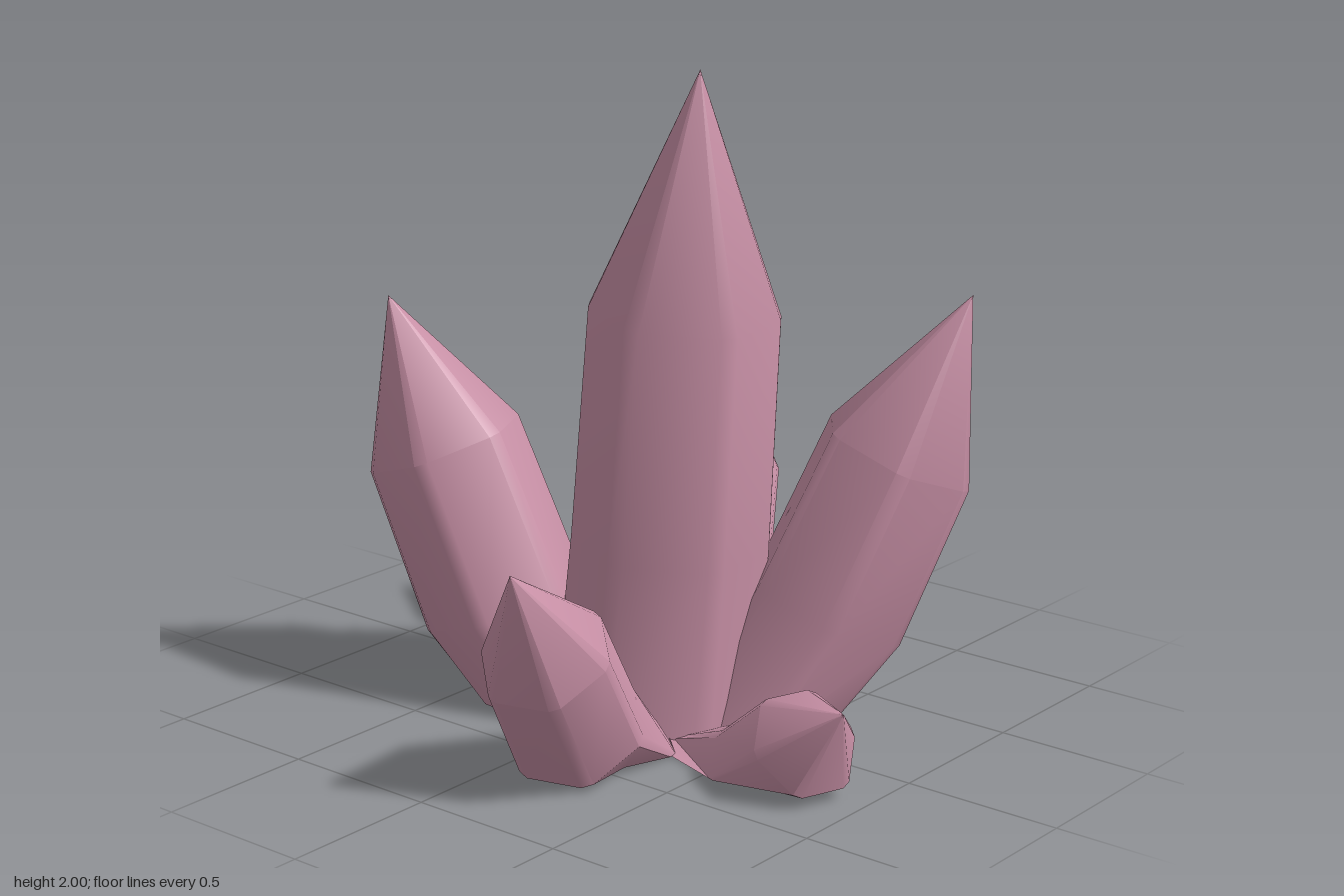
import * as THREE from 'three';
import { toCreasedNormals } from 'three/addons/utils/BufferGeometryUtils.js';

// Common point on the ground where all crystals grow from
const ROOT = new THREE.Vector3(0.05, 0.02, 0);
const BEVEL = 0.09;

// Six-sided leaning crystal with narrow bevelled edges; its foot is flattened on the ground
function crystalGeometry({ tip, shoulder, radius, body }) {
  const top = new THREE.Vector3(...tip);
  const mid = new THREE.Vector3(...shoulder);
  const axis = top.clone().sub(mid).normalize();
  const turn = new THREE.Quaternion().setFromUnitVectors(new THREE.Vector3(0, 1, 0), axis);
  // A flat side faces the direction of the lean
  const spin = Math.atan2(axis.x, axis.z) + Math.PI / 6;

  const ring = (down, r) => {
    const points = [];
    for (let k = 0; k < 6; k++) {
      for (const side of [-BEVEL, BEVEL]) {
        const a = spin + k * Math.PI / 3 + side;
        const p = new THREE.Vector3(Math.sin(a) * r, -down, Math.cos(a) * r);
        p.applyQuaternion(turn).add(mid);
        p.y = Math.max(p.y, 0);
        points.push(p);
      }
    }
    return points;
  };
  const rings = [
    ring(0, radius),
    ring(body * 0.5, radius * 1.05),
    ring(body, radius * 1.1),
  ];

  const out = [];
  for (let i = 0; i < 12; i++) {
    const j = (i + 1) % 12;
    out.push(rings[0][i], rings[0][j], top);
    for (let k = 0; k < 2; k++) {
      const upper = rings[k], lower = rings[k + 1];
      out.push(lower[i], lower[j], upper[j], lower[i], upper[j], upper[i]);
    }
    out.push(ROOT, rings[2][j], rings[2][i]);
  }
  return toCreasedNormals(new THREE.BufferGeometry().setFromPoints(out), 0.65);
}

export function createModel() {
  const group = new THREE.Group();
  group.name = 'crystalCluster';
  const rose = new THREE.MeshStandardMaterial({ color: 0xc890a6 });
  rose.name = 'dusty rose';

  // body is the length from the shoulder down to the foot
  const crystals = {
    centralCrystal: { tip: [0.19, 2, -0.03], shoulder: [0.14, 1.27, -0.025], radius: 0.288, body: 1.45 },
    frontRightCrystal: { tip: [-0.74, 1.25, 0.33], shoulder: [-0.585, 0.79, 0.255], radius: 0.245, body: 1.06 },
    backLeftCrystal: { tip: [0.80, 1.32, -0.57], shoulder: [0.635, 0.83, -0.445], radius: 0.245, body: 1.06 },
    frontCrystal: { tip: [0.29, 0.73, 0.93], shoulder: [0.235, 0.42, 0.725], radius: 0.198, body: 0.73 },
    backCrystal: { tip: [-0.39, 0.88, -0.93], shoulder: [-0.305, 0.54, -0.755], radius: 0.207, body: 0.88 },
    rightSmallCrystal: { tip: [-0.99, 0.43, -0.40], shoulder: [-0.8, 0.245, -0.325], radius: 0.175, body: 0.57 },
    leftSmallCrystal: { tip: [0.99, 0.31, 0.32], shoulder: [0.81, 0.155, 0.255], radius: 0.168, body: 0.58 },
  };
  for (const [name, spec] of Object.entries(crystals)) {
    const mesh = new THREE.Mesh(crystalGeometry(spec), rose);
    mesh.name = name;
    group.add(mesh);
  }
  return group;
}
